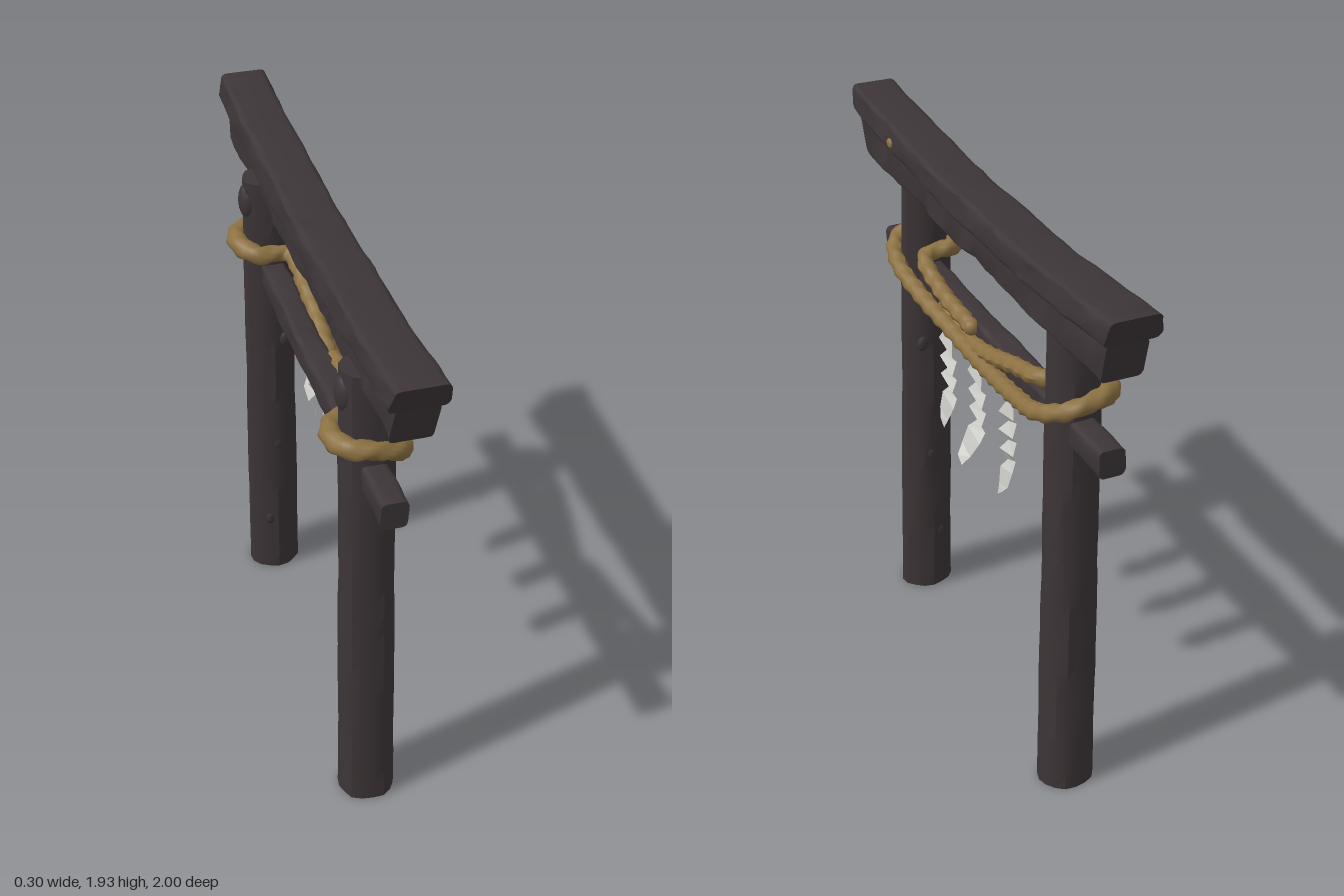
import * as THREE from 'three';
import { toCreasedNormals } from 'three/addons/utils/BufferGeometryUtils.js';

const wood = new THREE.MeshStandardMaterial({ color: 0x3d3537 });
wood.name = 'charred wood';
const straw = new THREE.MeshStandardMaterial({ color: 0x8c7142 });
straw.name = 'straw rope';
const paper = new THREE.MeshStandardMaterial({ color: 0xc6c6c2, side: THREE.DoubleSide });
paper.name = 'paper';

const V = (x, y, z) => new THREE.Vector3(x, y, z);

function add(group, name, geometry, material) {
  const mesh = new THREE.Mesh(geometry, material);
  mesh.name = name;
  group.add(mesh);
  return mesh;
}

// Moves every vertex by a rule
function warp(geometry, rule) {
  const p = geometry.attributes.position, v = new THREE.Vector3();
  for (let i = 0; i < p.count; i++) {
    v.fromBufferAttribute(p, i);
    rule(v);
    p.setXYZ(i, v.x, v.y, v.z);
  }
  return geometry;
}

// Gentle unevenness of hewn timber
const rough = (a, b) => Math.sin(a * 9 + b * 3) * 0.5 + Math.sin(a * 23 - b * 7 + 1) * 0.3 + Math.sin(a * 41 + b * 5) * 0.2;

// Tapering post leaning inwards, side = +1 or -1
function postGeometry(side) {
  const height = 1.74;
  const g = new THREE.CylinderGeometry(1, 1, 1, 16, 30);
  warp(g, v => {
    const t = v.y + 0.5, angle = Math.atan2(v.z, v.x);
    const ridge = 1 + 0.025 * Math.cos(angle * 5 + side) + 0.025 * rough(t * 1.6, Math.cos(angle) * 2 + Math.sin(angle) + side);
    v.set(
      0.01 - 0.015 * t + v.x * ridge * (0.098 - 0.012 * t),
      t * height,
      side * (0.632 - 0.046 * t) + v.z * ridge * (0.086 - 0.013 * t)
    );
  });
  return toCreasedNormals(g, 0.5);
}

// Beam along z with a rounded section; rise lifts the ends, slant cuts them outwards
function beamGeometry({ x0, x1, y0, y1, half, rise = 0, lowRise = rise, slant = 0, corner = 0.02, topInset = 0, wobble = 0.005 }) {
  const s = new THREE.Shape(), r = corner;
  s.moveTo(x0 + r, y0);
  s.lineTo(x1 - r, y0);
  s.quadraticCurveTo(x1, y0, x1, y0 + r);
  s.lineTo(x1 - topInset, y1 - r);
  s.quadraticCurveTo(x1 - topInset, y1, x1 - topInset - r, y1);
  s.lineTo(x0 + topInset + r, y1);
  s.quadraticCurveTo(x0 + topInset, y1, x0 + topInset, y1 - r);
  s.lineTo(x0, y0 + r);
  s.quadraticCurveTo(x0, y0, x0 + r, y0);
  const g = new THREE.ExtrudeGeometry(s, { depth: 2, steps: 40, bevelEnabled: false, curveSegments: 4 });
  warp(g, v => {
    const u = v.z - 1, h = (v.y - y0) / (y1 - y0);
    const lift = (lowRise + (rise - lowRise) * h) * u * u;
    v.x += wobble * rough(u, h * 2);
    v.y += lift + wobble * rough(u * 1.3 + 2, v.x * 12) * (1 - Math.abs(u));
    v.z = u * (half - slant * (1 - h));
  });
  return toCreasedNormals(g, 0.6);
}

// Twisted three-strand rope, thicker behind the posts
function ropeGeometry(points, radius) {
  const curve = new THREE.CatmullRomCurve3(points), length = curve.getLength();
  const segments = Math.round(length * 100), sides = 12;
  const g = new THREE.TubeGeometry(curve, segments, radius, sides);
  const p = g.attributes.position, n = g.attributes.normal;
  for (let i = 0; i < p.count; i++) {
    const along = Math.floor(i / (sides + 1)) / segments;
    const angle = (i % (sides + 1)) / sides * Math.PI * 2;
    const back = THREE.MathUtils.clamp(-p.getX(i) / 0.11, 0, 1);
    const d = 0.0035 * Math.cos(3 * angle - along * length * 85) + 0.008 * back;
    p.setXYZ(i, p.getX(i) + n.getX(i) * d, p.getY(i) + n.getY(i) * d, p.getZ(i) + n.getZ(i) * d);
  }
  g.computeVertexNormals();
  return g;
}

// Folded paper strip hanging from y = 0; rows are [y, depth, left edge, right edge]
const folds = [
  [0, 0, 0.025, -0.02], [-0.06, 0.016, 0.06, -0.055], [-0.092, -0.01, 0.03, -0.035],
  [-0.13, 0.016, 0.055, -0.058], [-0.165, -0.01, 0.03, -0.035], [-0.2, 0.014, 0.054, -0.052],
  [-0.24, -0.01, 0.025, -0.035], [-0.27, 0.01, 0.045, -0.05], [-0.325, 0.022, 0.038, -0.03], [-0.355, 0.03, 0.012, -0.02]
];
function streamerGeometry(curl, flip) {
  const rows = folds.map(([y, d, l, r], i) => {
    const bend = curl * Math.max(0, (i - 5) / 4) ** 2;
    const tilt = 0.012;
    return [V(d + bend, y + tilt, l * flip), V(d + bend, y - tilt, r * flip)];
  });
  const corners = [];
  for (let i = 0; i < rows.length - 1; i++) {
    const [a, b] = rows[i], [c, d] = rows[i + 1];
    corners.push(a, c, b, b, c, d);
  }
  const g = new THREE.BufferGeometry().setFromPoints(corners);
  g.computeVertexNormals();
  return g;
}

export function createModel() {
  const model = new THREE.Group();
  model.name = 'gate';

  // Posts, each with a lump of bark at the back of its top
  for (const side of [1, -1]) {
    const label = side > 0 ? 'left' : 'right';
    add(model, label + 'Post', postGeometry(side), wood);
    const lump = add(model, label + 'PostKnot', new THREE.IcosahedronGeometry(1, 2), wood);
    lump.scale.set(0.035, 0.07, 0.045);
    lump.position.set(-0.07, 1.655, side * 0.585);
    // Small knots on the inner face
    [1.1, 0.62, 0.25].forEach((y, i) => {
      const knot = add(model, label + 'BarkKnot', new THREE.IcosahedronGeometry(1, 1), wood);
      knot.scale.set(0.02, 0.03, 0.012);
      knot.position.set(0.04 - i * 0.03, y, side * (0.53 + 0.012 * i));
    });
  }

  // Beams
  add(model, 'topLintel', beamGeometry({
    x0: -0.07, x1: 0.11, y0: 1.795, y1: 1.885, half: 1, rise: 0.048, slant: 0.03, corner: 0.022, topInset: 0.008
  }), wood);
  add(model, 'lowerLintel', beamGeometry({
    x0: -0.045, x1: 0.088, y0: 1.695, y1: 1.81, half: 0.96, rise: 0.035, lowRise: 0.008, slant: 0.04, corner: 0.016, wobble: 0.009
  }), wood);
  add(model, 'tieBeam', beamGeometry({
    x0: -0.042, x1: 0.044, y0: 1.325, y1: 1.42, half: 0.857, rise: 0.01, corner: 0.02
  }), wood);

  // Rope looped round both posts and sagging across the front
  const path = [
    V(0.05, 1.4, 0.06), V(0.06, 1.43, 0.3), V(0.04, 1.475, 0.48), V(-0.06, 1.49, 0.49), V(-0.112, 1.5, 0.58),
    V(-0.08, 1.505, 0.665), V(0, 1.5, 0.69), V(0.08, 1.465, 0.665), V(0.115, 1.43, 0.56), V(0.105, 1.385, 0.38),
    V(0.08, 1.347, 0.15), V(0.075, 1.337, 0), V(0.085, 1.355, -0.2), V(0.1, 1.39, -0.42), V(0.113, 1.435, -0.58),
    V(0.07, 1.475, -0.675), V(0, 1.495, -0.69), V(-0.08, 1.5, -0.66), V(-0.112, 1.5, -0.58), V(-0.06, 1.49, -0.49),
    V(0.04, 1.485, -0.48), V(0.06, 1.44, -0.3), V(0.06, 1.375, -0.08), V(0.05, 1.345, 0.1), V(0.055, 1.365, 0.28)
  ];
  add(model, 'rope', ropeGeometry(path, 0.028), straw);
  for (const end of [path[0], path[path.length - 1]]) {
    add(model, 'ropeEnd', new THREE.SphereGeometry(0.029, 12, 8), straw).position.copy(end);
  }

  // Straw tuft on the top lintel
  const tuft = add(model, 'strawTuft', new THREE.IcosahedronGeometry(1, 1), straw);
  tuft.scale.set(0.008, 0.018, 0.022);
  tuft.position.set(0.108, 1.85, 0.62);

  // Paper streamers on short cords
  [[0.25, 0.005, 1], [0, 0.045, 1], [-0.25, 0.005, -1]].forEach(([z, curl, flip]) => {
    add(model, 'paperStreamer', streamerGeometry(curl, flip), paper).position.set(0.05, 1.29, z);
    add(model, 'streamerCord', new THREE.CylinderGeometry(0.006, 0.006, 0.07, 6), paper).position.set(0.052, 1.31, z);
  });

  return model;
}
